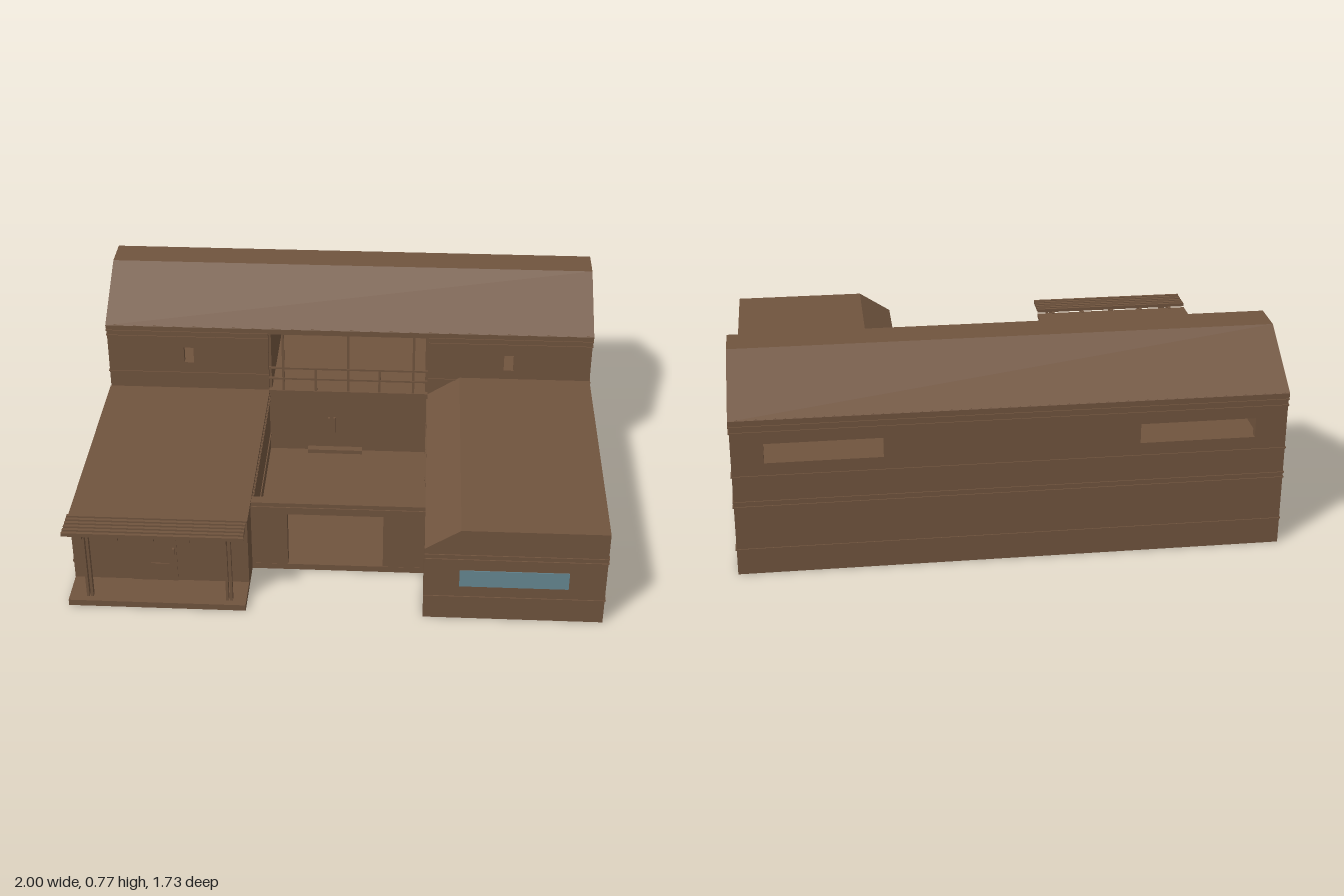
import * as THREE from 'three';

export function createModel() {
  const house = new THREE.Group();
  house.name = 'courtyardHouse';
  const timber = new THREE.MeshStandardMaterial({ color: 0x70543e });
  timber.name = 'brownTimber';
  const glass = new THREE.MeshStandardMaterial({ color: 0x668792 });
  glass.name = 'blueGlass';

  function add(name, geometry, material = timber) {
    const mesh = new THREE.Mesh(geometry, material);
    mesh.name = name;
    house.add(mesh);
    return mesh;
  }
  // Box given by its extents on each axis
  function box(name, x0, x1, y0, y1, z0, z1, material) {
    const mesh = add(name, new THREE.BoxGeometry(x1 - x0, y1 - y0, z1 - z0), material);
    mesh.position.set((x0 + x1) / 2, (y0 + y1) / 2, (z0 + z1) / 2);
    return mesh;
  }
  function polygon(points) {
    return new THREE.Shape(points.map(([x, y]) => new THREE.Vector2(x, y)));
  }
  const rect = (x0, x1, y0, y1) => [[x0, y0], [x1, y0], [x1, y1], [x0, y1]];
  // Upright panel in the xy plane with rectangular openings
  function panel(name, outline, openings, z0, z1) {
    const shape = polygon(outline);
    for (const o of openings) shape.holes.push(new THREE.Path(polygon(rect(...o)).getPoints()));
    const geometry = new THREE.ExtrudeGeometry(shape, { depth: z1 - z0, bevelEnabled: false });
    add(name, geometry.translate(0, 0, z0));
  }
  // Profile of [z, y] points swept along x
  function sweepX(name, profile, x0, x1) {
    const shape = polygon(profile.map(([z, y]) => [-z, y]));
    const geometry = new THREE.ExtrudeGeometry(shape, { depth: x1 - x0, bevelEnabled: false });
    add(name, geometry.rotateY(Math.PI / 2).translate(x0, 0, 0));
  }

  const E = 0.995, BACK = -0.86, FRONT = -0.2, IN = 0.33;

  // Rear hall: solid ground floor, hollow upper floor
  box('hallGroundFloor', -E, E, 0, 0.31, BACK, FRONT);
  panel('hallBackWall', rect(-E, E, 0.31, 0.61),
    [[0.46, 0.88, 0.44, 0.515], [-0.88, -0.46, 0.44, 0.515]], BACK, BACK + 0.025);
  panel('hallFrontWall', rect(-E, E, 0.31, 0.61),
    [[0.64, 0.68, 0.44, 0.51], [-0.68, -0.64, 0.44, 0.51], [-IN, IN, 0.315, 0.583]],
    FRONT - 0.025, FRONT);
  const gable = [[FRONT, 0.31], [FRONT, 0.6], [-0.465, 0.755], [-0.6, 0.755], [BACK, 0.6], [BACK, 0.31]];
  for (const x of [-E, E - 0.02]) sweepX('hallEndWall', gable, x, x + 0.02);
  for (const s of [-1, 1]) box('hallPartition', s * IN - 0.01, s * IN + 0.01, 0.31, 0.6, BACK + 0.02, FRONT - 0.02);
  sweepX('hallRoof', [[FRONT + 0.003, 0.608], [-0.465, 0.77], [-0.6, 0.77], [BACK - 0.003, 0.608],
    [BACK - 0.003, 0.592], [-0.605, 0.75], [-0.46, 0.75], [FRONT + 0.003, 0.592]], -0.998, 0.998);

  // Balcony mullions and railing
  for (const x of [-0.27, 0, 0.27]) box('balconyMullion', x - 0.005, x + 0.005, 0.31, 0.59, FRONT - 0.015, FRONT - 0.005);
  for (const x of [-0.135, 0.13]) box('railingPost', x - 0.005, x + 0.005, 0.31, 0.42, FRONT - 0.012, FRONT - 0.004);
  for (const y of [0.37, 0.42]) box('balconyRail', -IN, IN, y - 0.004, y + 0.004, FRONT - 0.012, FRONT - 0.004);

  // Right-hand block on the +x side with one bevelled eave
  panel('bevelledWing', [[IN, 0], [E, 0], [E, 0.4], [0.46, 0.4], [IN, 0.315]], [], FRONT, 0.86);
  box('frontStripWindow', 0.46, 0.86, 0.15, 0.222, 0.858, 0.863, glass);

  // Flat-roofed wing with a porch
  box('flatWing', -E, -IN, 0, 0.31, FRONT, 0.72);
  box('flatWingRoof', -0.998, -0.328, 0.3, 0.317, FRONT, 0.73);
  box('porchFloor', -E, -IN, 0, 0.025, 0.72, 0.86);
  box('sideStripWindow', -0.999, -0.994, 0.15, 0.222, -0.46, 0.35, glass);
  box('porchDoor', -0.77, -0.6, 0.025, 0.25, 0.72, 0.724);
  box('porchDoorHandle', -0.615, -0.607, 0.15, 0.18, 0.724, 0.734);
  box('porchDoorRail', -0.7, -0.63, 0.1, 0.107, 0.724, 0.728);
  for (const x of [-0.925, -0.91, -0.4, -0.385])
    box('porchPost', x - 0.005, x + 0.005, 0.025, 0.31, 0.815, 0.835);

  // Slatted porch canopy
  for (let i = 0; i < 5; i++) {
    const x = -0.93 + i * 0.1325;
    box('canopyJoist', x - 0.006, x + 0.006, 0.3, 0.32, 0.72, 0.855);
  }
  for (let i = 0; i < 6; i++) {
    const z = 0.745 + i * 0.0215;
    box('canopySlat', -0.998, -IN, 0.318, 0.333, z - 0.006, z + 0.006);
  }

  // Courtyard with its gate wall
  box('courtyardFloor', -IN, IN, 0, 0.025, FRONT, 0.6);
  panel('gateWall', rect(-IN, IN, 0.02, 0.31), [[-0.192, 0.173, 0.025, 0.26]], 0.56, 0.599);
  for (const x of [-0.08, -0.058]) box('doorHandle', x - 0.004, x + 0.004, 0.12, 0.19, FRONT, FRONT + 0.012);
  box('doorStep', -0.17, 0.06, 0.025, 0.042, FRONT, FRONT + 0.03);

  // Thin horizontal cladding battens
  const H = 0.003, P = 0.004;
  const alongX = (x0, x1, y, z) => box('batten', x0, x1, y - H, y + H, z - P, z + P);
  const alongZ = (z0, z1, y, x) => box('batten', x - P, x + P, y - H, y + H, z0, z1);
  for (const y of [0.1, 0.27, 0.29]) {
    alongX(-E, E, y, BACK);
    alongZ(BACK, 0.86, y, E);
    alongZ(BACK, 0.72, y, -E);
    alongX(IN, E, y, 0.86);
    for (const s of [-1, 1]) alongZ(FRONT, 0.56, y, s * IN);
  }
  alongX(-IN, IN, 0.29, 0.599);
  for (const y of [0.39, 0.56, 0.583]) {
    alongX(-E, E, y, BACK);
    for (const s of [-1, 1]) {
      alongZ(BACK, FRONT, y, s * E);
      alongX(s > 0 ? IN : -E, s > 0 ? E : -IN, y, FRONT);
    }
  }
  return house;
}
